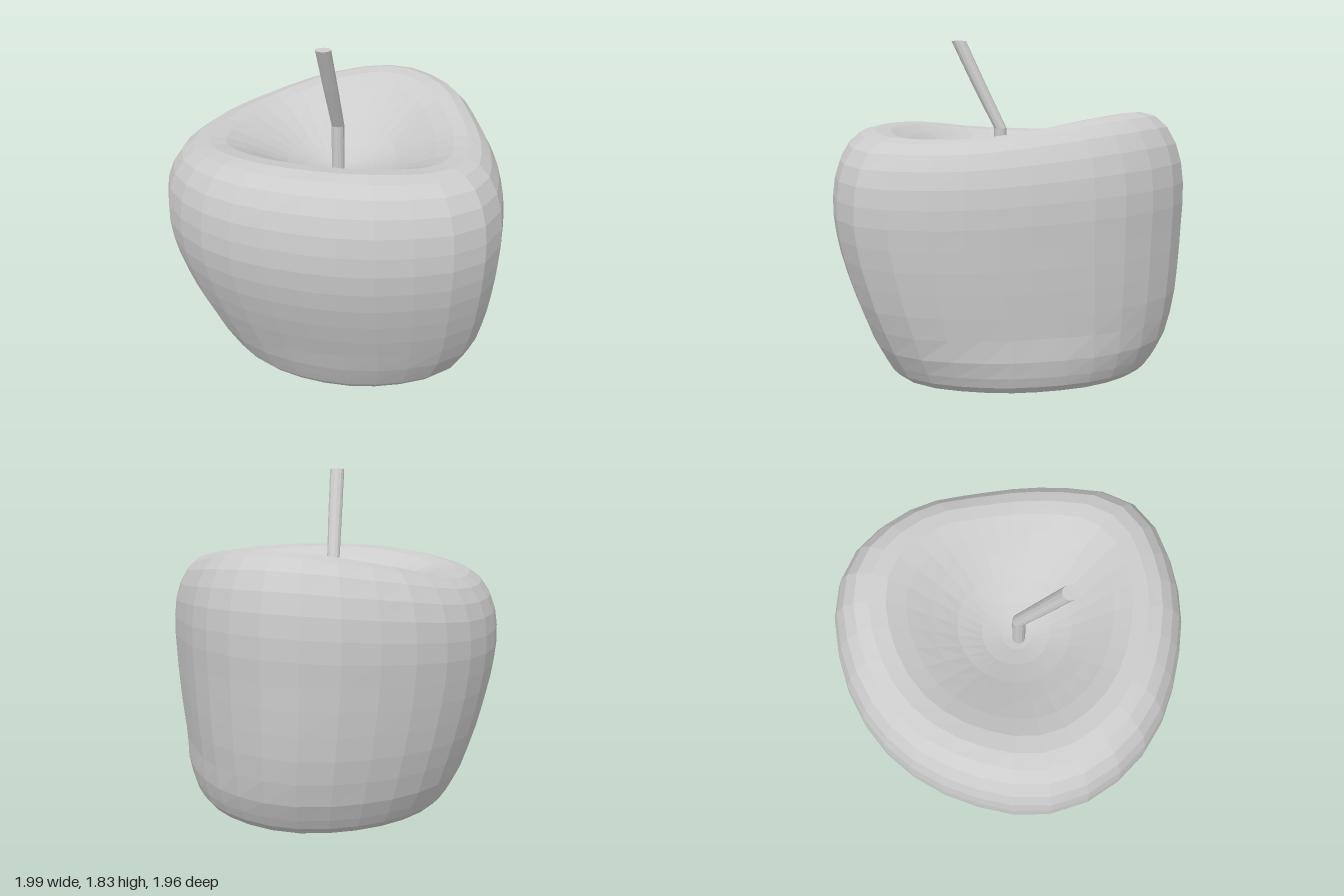
import * as THREE from 'three';

const { smoothstep, lerp } = THREE.MathUtils;

// Skin a stack of closed loops, listed from bottom to top; point(section, t) gives a position
function loft(sections, sides, point) {
  const pos = [], index = [];
  sections.forEach((s, i) => {
    for (let j = 0; j < sides; j++) {
      pos.push(...point(s, j / sides));
      if (i === sections.length - 1) continue;
      const a = i * sides + j, b = i * sides + (j + 1) % sides;
      index.push(a, a + sides, b, b, a + sides, b + sides);
    }
  });
  const g = new THREE.BufferGeometry();
  g.setAttribute('position', new THREE.Float32BufferAttribute(pos, 3));
  g.setIndex(index);
  g.computeVertexNormals();
  return g;
}

// Three-lobed plan radius and wavy shoulder height every 30 degrees, from START towards +z
const START = Math.PI / 12;
const PLAN = [1.035, 0.975, 0.95, 1.01, 1.05, 1, 0.99, 0.99, 1.005, 0.9, 0.81, 0.875];
const RIM = [1.325, 1.345, 1.35, 1.335, 1.29, 1.28, 1.3, 1.38, 1.44, 1.42, 1.365, 1.325];
const RIM_MEAN = 1.34;

// Body profile [scale, height]: hollow in the base, side, shoulder and stem hollow
const PROFILE = [
  [0, 0.155], [0.15, 0.14], [0.3, 0.12], [0.45, 0.085], [0.55, 0.05], [0.63, 0.012],
  [0.69, 0], [0.74, 0.018], [0.775, 0.055], [0.805, 0.11], [0.85, 0.2], [0.89, 0.32],
  [0.925, 0.44], [0.952, 0.56], [0.975, 0.68], [0.99, 0.79], [1, 0.9], [0.998, 1],
  [0.985, 1.1], [0.955, 1.19], [0.905, 1.27], [0.84, 1.322],
  [0.76, 1.34], [0.67, 1.33], [0.57, 1.285], [0.45, 1.22], [0.32, 1.15],
  [0.19, 1.095], [0.08, 1.065], [0, 1.055],
];

// Stem sections: [radius, x, y, z]
const STEM = [
  [0, -0.05, 1.03, 0.065], [0.036, -0.05, 1.03, 0.065], [0.036, -0.05, 1.33, 0.065],
  [0.04, -0.01, 1.57, 0.18], [0.042, 0.03, 1.83, 0.3], [0, 0.03, 1.83, 0.3],
];

export function createModel() {
  const group = new THREE.Group();
  const material = new THREE.MeshStandardMaterial({ color: 0xcccccc, flatShading: true });

  const outline = new THREE.CatmullRomCurve3(
    PLAN.map((r, i) => new THREE.Vector3(r, RIM[i], 0)), true, 'catmullrom', 0.5);

  // Fruit body: rounder towards the base and both hollows, wavier towards the shoulder
  const body = new THREE.Mesh(loft(PROFILE, 32, ([k, y], t) => {
    const { x: radius, y: rim } = outline.getPoint(t);
    const angle = START + t * Math.PI * 2;
    const round = Math.max(0.4 * (1 - smoothstep(y, 0, 0.4)), 1 - smoothstep(k, 0.08, 0.6));
    const wave = smoothstep(k, 0.1, 0.7) * (y / RIM_MEAN) ** 2;
    const centre = 1 - smoothstep(k, 0, 0.7);
    const r = k * lerp(radius, 1, round);
    return [
      r * Math.cos(angle) - 0.05 * centre,
      y + (rim - RIM_MEAN) * wave,
      r * Math.sin(angle) + 0.05 * centre - 0.08 * (1 - smoothstep(y, 0.1, 0.9)),
    ];
  }), material);
  body.name = 'fruitBody';

  // Bent stem, level at every section
  const stem = new THREE.Mesh(loft(STEM, 12, ([r, x, y, z], t) => {
    const angle = t * Math.PI * 2;
    return [x + r * Math.cos(angle), y, z + r * Math.sin(angle)];
  }), material);
  stem.name = 'stem';

  group.add(body, stem);
  return group;
}
